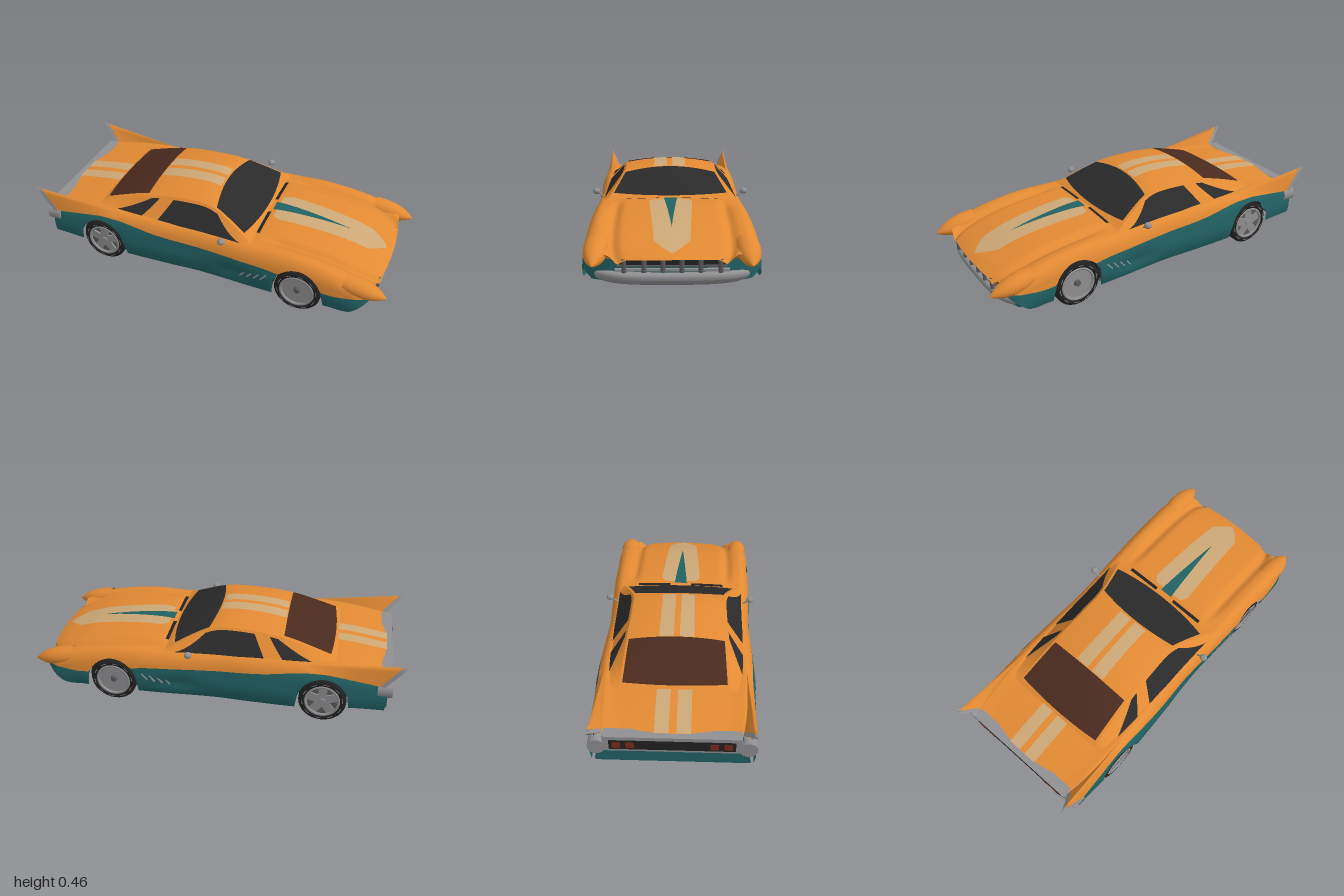
import * as THREE from 'three';

const paint = (name, color) => new THREE.MeshStandardMaterial({ name, color, side: THREE.DoubleSide });
const M = {
  orange: paint('orange paint', 0xe28a33), teal: paint('teal paint', 0x226264), beige: paint('beige stripe', 0xcda876),
  glass: paint('dark glass', 0x2a2a2a), brown: paint('brown rear glass', 0x4a2a1e), grey: paint('grey metal', 0x909092),
  steel: paint('dark steel', 0x5a5a5c), black: paint('black rubber', 0x232222), red: paint('lamp red', 0x7a2a1c),
};

// Smooth curve through [x, value] keys
function curve(keys) {
  const slope = i => {
    const a = keys[Math.max(i - 1, 0)], b = keys[Math.min(i + 1, keys.length - 1)];
    return (b[1] - a[1]) / (b[0] - a[0]);
  };
  return x => {
    let i = 0;
    while (i < keys.length - 2 && x > keys[i + 1][0]) i++;
    const [x0, a] = keys[i], [x1, b] = keys[i + 1], h = x1 - x0;
    const t = Math.min(1, Math.max(0, (x - x0) / h)), t2 = t * t, t3 = t2 * t;
    return a * (2 * t3 - 3 * t2 + 1) + b * (3 * t2 - 2 * t3) + h * (slope(i) * (t3 - 2 * t2 + t) + slope(i + 1) * (t3 - t2));
  };
}
const lerp = THREE.MathUtils.lerp, smooth = THREE.MathUtils.smoothstep;

// Body shape rules along the length (x)
const FRONT = 0.55, REAR = -0.58, WHEEL_Y = 0.125, ARCH = 0.135, X0 = -0.9, X1 = 0.93;
const widest = curve([[-0.9, 0.395], [-0.5, 0.415], [-0.2, 0.407], [0, 0.398], [0.3, 0.41], [0.6, 0.414], [0.8, 0.412], [0.88, 0.402], [0.93, 0.375]]);
const crest = curve([[-0.9, 0.28], [-0.6, 0.317], [-0.3, 0.32], [0, 0.317], [0.3, 0.31], [0.5, 0.312], [0.7, 0.287], [0.85, 0.25], [0.93, 0.222]]);
const middle = curve([[-0.9, 0.283], [-0.65, 0.318], [-0.4, 0.31], [0.2, 0.31], [0.3, 0.325], [0.42, 0.325], [0.6, 0.308], [0.75, 0.28], [0.87, 0.238], [0.93, 0.205]]);
const split = curve([[-0.9, 0.262], [-0.5, 0.285], [-0.25, 0.255], [0, 0.24], [0.2, 0.232], [0.4, 0.222], [0.7, 0.172], [0.85, 0.178], [0.93, 0.185]]);
const sill = curve([[-0.9, 0.1], [-0.72, 0.1], [-0.45, 0.072], [0.42, 0.065], [0.7, 0.078], [0.82, 0.085], [0.88, 0.13], [0.93, 0.18]]);

function bottomY(x) {
  let y = sill(x);
  for (const c of [FRONT, REAR]) if (Math.abs(x - c) < ARCH) y = Math.max(y, WHEEL_Y + Math.sqrt(ARCH ** 2 - (x - c) ** 2));
  return y;
}
function sideZ(x, y) {
  const f = crest(x), base = Math.min(0.2, f - 0.08), w = widest(x), low = (base - y) / 0.13;
  if (y > base) return w - 0.065 * (1 - Math.sqrt(Math.max(0, 1 - ((y - base) / (f - base)) ** 2)));
  const scoop = 0.018 * Math.exp(-(((x - 0.2) / 0.13) ** 2) - ((y - 0.14) / 0.04) ** 2);
  return w + 0.03 * low - 0.045 * low * low - scoop;
}
function topPoint(x, z, lift = 0) {
  const r = Math.abs(z) / (widest(x) - 0.065), w = smooth(r, 0.74, 1);
  const valley = 0.022 * smooth(x, 0.25, 0.45) * Math.exp(-(((r - 0.8) / 0.07) ** 2));
  const nose = 0.03 * smooth(x, 0.8, 0.93) * Math.max(0, 1 - r * r);
  return [x + nose, lerp(middle(x) - 0.1 * z * z, crest(x), w) - valley + lift, z];
}

// Cabin shape rules
const roofY = curve([[-0.66, 0.305], [-0.6, 0.337], [-0.35, 0.428], [-0.12, 0.456], [0.03, 0.437], [0.27, 0.322]]);
const roofZ = curve([[-0.66, 0.28], [-0.35, 0.262], [-0.1, 0.25], [0.03, 0.257], [0.27, 0.335]]);
const drop = curve([[-0.66, 0.006], [-0.35, 0.026], [-0.1, 0.028], [0.03, 0.02], [0.27, 0.01]]);
const roofPoint = (x, r, lift = 0) => [x, roofY(x) - drop(x) * r * r + lift, roofZ(x) * r];
const cabinSide = (x, t, lift = 0) => [x, lerp(0.308, roofY(x) - drop(x), t), lerp(0.354, roofZ(x), t) + lift];

export function createModel() {
  const car = new THREE.Group();
  car.name = 'car';
  const add = (name, geo, mat, x = 0, y = 0, z = 0, parent = car) => {
    const m = new THREE.Mesh(geo, mat);
    m.name = name;
    m.position.set(x, y, z);
    parent.add(m);
    return m;
  };
  const box = (name, mat, x, y, z, w, h, d, parent) => add(name, new THREE.BoxGeometry(w, h, d), mat, x, y, z, parent);
  const rod = (name, mat, r, len, x, y, z) => add(name, new THREE.CylinderGeometry(r, r, len, 14).rotateZ(Math.PI / 2), mat, x, y, z);
  // Grid surface from a rule f(u, v), optionally mirrored across z
  const patch = (name, mat, nu, nv, f, s = 1) => {
    const pos = [], idx = [];
    for (let i = 0; i <= nu; i++) for (let j = 0; j <= nv; j++) {
      const [x, y, z] = f(i / nu, j / nv);
      pos.push(x, y, z * s);
    }
    for (let i = 0; i < nu; i++) for (let j = 0; j < nv; j++) {
      const a = i * (nv + 1) + j, b = a + 1, c = a + nv + 1, d = c + 1;
      if (s > 0) idx.push(a, c, b, b, c, d); else idx.push(a, b, c, b, d, c);
    }
    const g = new THREE.BufferGeometry();
    g.setAttribute('position', new THREE.Float32BufferAttribute(pos, 3));
    g.setIndex(idx);
    g.computeVertexNormals();
    return add(name, g, mat);
  };
  const pair = (name, mat, nu, nv, f) => [1, -1].forEach(s => patch(name, mat, nu, nv, f, s));

  // Body shell: teal lower sides, orange upper sides, hood and deck
  const along = u => lerp(X0, X1, u);
  pair('lowerSide', M.teal, 170, 8, (u, v) => {
    const x = along(u), b = bottomY(x), y = lerp(b, Math.max(b, split(x)), v);
    return [x, y, sideZ(x, y)];
  });
  pair('upperSide', M.orange, 170, 10, (u, v) => {
    const x = along(u), y = lerp(Math.max(bottomY(x), split(x)), crest(x), Math.sin(v * Math.PI / 2));
    return [x, y, sideZ(x, y)];
  });
  patch('hoodAndDeck', M.orange, 100, 56, (u, v) => topPoint(along(u), (1 - 2 * v) * (widest(along(u)) - 0.065)));

  // Cabin shell, glass and pillars
  patch('roof', M.orange, 50, 16, (u, v) => roofPoint(lerp(-0.66, 0.27, u), 1 - 2 * v));
  pair('cabinSide', M.orange, 50, 4, (u, v) => cabinSide(lerp(-0.66, 0.27, u), v));
  patch('windshield', M.glass, 14, 16, (u, v) => {
    const r = 1 - 2 * v;
    return roofPoint(lerp(0.015 + 0.03 * r * r, 0.256 - 0.035 * r * r, u), r * 0.955, 0.005);
  });
  patch('rearWindow', M.brown, 14, 16, (u, v) => {
    const r = 1 - 2 * v;
    return roofPoint(lerp(-0.62 + 0.015 * r * r, -0.355, u), r * 0.95, 0.005);
  });
  const sideGlass = (name, a, b, c, d) => pair(name, M.glass, 16, 6, (u, v) =>
    cabinSide(lerp(lerp(a, b, u), lerp(d, c, u), v), lerp(0.07, 0.92, v), 0.005));
  sideGlass('doorWindow', -0.265, 0.215, 0.06, -0.2);
  sideGlass('quarterWindow', -0.56, -0.365, -0.28, -0.325);
  pair('cowlVent', M.black, 3, 8, (u, v) => topPoint(lerp(0.27, 0.288, u), lerp(0.25, 0.06, v), 0.004));

  // Painted stripes
  pair('roofStripe', M.beige, 20, 3, (u, v) => roofPoint(lerp(-0.35, 0.005, u), lerp(0.35, 0.06, v), 0.003));
  pair('deckStripe', M.beige, 14, 3, (u, v) => topPoint(lerp(-0.9, -0.635, u), lerp(0.088, 0.018, v), 0.003));
  patch('hoodStripe', M.beige, 40, 12, (u, v) => {
    const x = lerp(0.31, 0.9, u), w = x < 0.83 ? lerp(0.115, 0.085, (x - 0.31) / 0.52) : 0.085 * ((0.9 - x) / 0.07) ** 0.8;
    return topPoint(x, (1 - 2 * v) * w * smooth(x, 0.2, 0.36), 0.003);
  });
  patch('hoodWedge', M.teal, 30, 4, (u, v) => topPoint(lerp(0.29, 0.72, u), (1 - 2 * v) * 0.036 * (1 - u), 0.005));

  // Tail fins with grey trailing edges and back faces
  const fin = (u, v) => {
    const inner = [-0.48 - 0.41 * u, lerp(0.312, 0.272, u), lerp(0.358, 0.328, u ** 3)];
    const tip = [-0.48 - 0.52 * u, lerp(0.318, 0.372, u), lerp(0.362, 0.388, u)];
    const outer = [-0.48 - 0.41 * u, lerp(0.3, 0.25, u), lerp(0.392, 0.405, u)];
    const [a, b, t] = v < 0.5 ? [outer, tip, v * 2] : [tip, inner, v * 2 - 1];
    return a.map((k, i) => lerp(k, b[i], t));
  };
  pair('tailFin', M.orange, 16, 8, (u, v) => fin(u * 0.94, v));
  pair('finEdge', M.grey, 2, 8, (u, v) => fin(lerp(0.94, 1, u), v));
  pair('finBack', M.grey, 1, 4, (u, v) => fin(1, u === 0 ? v / 2 : 1 - v / 2));

  // Rear panel, lamps, bumper and valance
  patch('rearPanel', M.teal, 6, 20, (u, v) => {
    const [x, y, z] = topPoint(X0, lerp(0.33, -0.33, v));
    return [x, lerp(y, 0.1, u), z * lerp(1, 1.15, u)];
  });
  box('rearFrame', M.grey, -0.902, 0.238, 0, 0.058, 0.09, 0.66);
  box('rearLampPanel', M.black, -0.932, 0.235, 0, 0.004, 0.056, 0.6);
  box('rearBumper', M.teal, -0.895, 0.145, 0, 0.03, 0.08, 0.74);
  box('rearValance', M.teal, -0.85, 0.1, 0, 0.1, 0.012, 0.74);
  for (const s of [1, -1]) {
    for (const z of [0.2, 0.265]) box('tailLamp', M.red, -0.935, 0.235, s * z, 0.004, 0.034, 0.04);
    rod('rearPod', M.grey, 0.044, 0.075, -0.893, 0.215, s * 0.362);
  }

  // Front fascia, grille, bars and bumper
  const fasciaX = z => 0.912 - 0.06 * (z / 0.38) ** 4;
  patch('frontFascia', M.teal, 6, 30, (u, v) => {
    const z = lerp(1, -1, v) * lerp(0.37, 0.412, Math.sin(u * Math.PI));
    return [fasciaX(z), lerp(0.2, 0.085, u), z];
  });
  patch('noseLip', M.orange, 3, 30, (u, v) => {
    const z = lerp(0.305, -0.305, v), [x, y] = topPoint(X1, z);
    return [lerp(x, fasciaX(z), u), lerp(y, 0.19, u), z];
  });
  patch('grille', M.black, 1, 20, (u, v) => {
    const z = lerp(0.25, -0.25, v);
    return [fasciaX(z) + 0.006, lerp(0.2, 0.168, u), z];
  });
  box('grilleLowerTrim', M.grey, 0.918, 0.146, 0, 0.016, 0.012, 0.52);
  box('grilleMiddleTrim', M.steel, 0.918, 0.165, 0, 0.014, 0.007, 0.5);
  for (const s of [1, -1]) for (const z of [0.043, 0.128, 0.218])
    add('grilleBar', new THREE.CylinderGeometry(0.011, 0.011, 0.064, 10), M.steel, 0.93, 0.17, s * z);
  patch('frontBumper', M.grey, 40, 20, (u, v) => {
    const k = 2 * u - 1, a = v * Math.PI * 2, e = Math.sqrt(1 - k ** 8), h = 0.033 * e * Math.sin(a);
    return [0.908 - 0.055 * k ** 4 + 0.034 * e * Math.cos(a) + 0.4 * h, 0.1 + h + 0.008 * k * k, 0.365 * k];
  });

  for (const s of [1, -1]) {
    // Pointed headlight pods, grey underneath
    const profile = [[0.054, 0], [0.058, 0.06], [0.053, 0.12], [0.04, 0.165], [0.021, 0.2], [0.001, 0.225]].map(p => new THREE.Vector2(...p));
    const pod = new THREE.Group();
    pod.name = 'headlightPod';
    pod.position.set(0.78, 0.232, s * 0.348);
    pod.rotation.set(0, -s * 0.03, -0.19);
    car.add(pod);
    const shell = (name, mat, start, len) => add(name, new THREE.LatheGeometry(profile, 20, start, len).rotateZ(-Math.PI / 2).scale(1, 0.85, 1), mat, 0, 0, 0, pod);
    shell('podTop', M.orange, Math.PI / 2 + 0.65, Math.PI * 2 - 1.3);
    shell('podUnderside', M.grey, Math.PI / 2 - 0.65, 1.3);

    // Door mirrors
    add('mirrorStem', new THREE.CylinderGeometry(0.005, 0.005, 0.06, 8).rotateX(s * 0.9), M.grey, 0.13, 0.312, s * 0.38);
    add('mirror', new THREE.SphereGeometry(0.02, 14, 10).scale(1, 0.85, 1.05), M.grey, 0.13, 0.33, s * 0.404);

    // Slim gills behind the front wheels
    for (let i = 0; i < 4; i++) {
      const x = 0.25 + i * 0.04, y = 0.148 + i * 0.008;
      box('sideGill', M.grey, x, y, s * (sideZ(x, y) + 0.001), 0.007, 0.045, 0.006).rotation.z = -0.7;
    }

    // Wheels and arch liners
    for (const [x, spokes] of [[FRONT, 0], [REAR, 5]]) {
      const wheel = new THREE.Group();
      wheel.name = 'wheel';
      wheel.position.set(x, WHEEL_Y, s * 0.354);
      if (s < 0) wheel.rotation.y = Math.PI;
      car.add(wheel);
      const ring = [[0.09, -0.05], [0.112, -0.053], [0.125, -0.04], [0.125, 0.04], [0.112, 0.053], [0.092, 0.05], [0.09, -0.05]];
      add('tire', new THREE.LatheGeometry(ring.map(p => new THREE.Vector2(...p)), 32).rotateX(Math.PI / 2), M.black, 0, 0, 0, wheel);
      for (let i = 0; i < 10; i++) add('tireDash', new THREE.RingGeometry(0.103, 0.107, 4, 1, i * Math.PI / 5, 0.3), M.grey, 0, 0, 0.054, wheel);
      add('rimDish', new THREE.CylinderGeometry(0.091, 0.091, 0.07, 28).rotateX(Math.PI / 2), spokes ? M.steel : M.grey, 0, 0, 0, wheel);
      add('rimLip', new THREE.TorusGeometry(0.087, 0.008, 8, 32), M.grey, 0, 0, 0.047, wheel);
      add('hub', new THREE.CylinderGeometry(0.014, 0.02, 0.02, 16).rotateX(Math.PI / 2), spokes ? M.grey : M.steel, 0, 0, 0.04, wheel);
      for (let i = 0; i < spokes; i++) {
        const a = (i + 0.25) / spokes * Math.PI * 2;
        box('spoke', M.grey, 0.05 * Math.cos(a), 0.05 * Math.sin(a), 0.038, 0.08, 0.046, 0.012, wheel).rotation.z = a;
      }
      add('archLiner', new THREE.CylinderGeometry(0.134, 0.134, 0.12, 24, 1, true, Math.PI / 2, Math.PI).rotateX(Math.PI / 2), M.black, x, WHEEL_Y, s * 0.32);
      rod('shockMount', M.grey, 0.024, 0.14, x, 0.1, s * 0.24);
    }

    // Underside rails, exhausts and springs
    box('sillRail', M.steel, -0.01, 0.07, s * 0.345, 0.82, 0.016, 0.03);
    box('chassisRail', M.steel, 0, 0.085, s * 0.22, 1.4, 0.03, 0.04);
    rod('exhaustPipe', M.grey, 0.022, 0.9, -0.08, 0.09, s * 0.09);
    rod('muffler', M.grey, 0.03, 0.22, -0.36, 0.092, s * 0.13);
    box('leafSpring', M.grey, REAR, 0.088, s * 0.26, 0.3, 0.012, 0.03);
    rod('tailMuffler', M.grey, 0.028, 0.14, -0.7, 0.105, s * 0.15);
  }

  // Floor, inner wheel walls and running gear
  box('floor', M.black, -0.01, 0.092, 0, 0.82, 0.025, 0.72);
  box('chassis', M.black, 0.04, 0.138, 0, 1.68, 0.085, 0.54);
  for (const x of [FRONT, REAR]) {
    box('wheelWall', M.black, x, 0.2, 0, 0.28, 0.13, 0.52);
    add('axle', new THREE.CylinderGeometry(0.026, 0.026, 0.62, 12).rotateX(Math.PI / 2), M.grey, x, 0.105, 0);
  }
  for (const x of [-0.38, -0.05, 0.3]) box('crossMember', M.steel, x, 0.077, 0, 0.04, 0.016, 0.68);
  add('differential', new THREE.SphereGeometry(0.055, 16, 12), M.grey, REAR, 0.12, 0);
  rod('driveShaft', M.steel, 0.018, 0.75, -0.2, 0.09, 0);
  rod('gearbox', M.grey, 0.055, 0.24, 0.26, 0.122, 0);
  box('oilPan', M.grey, 0.51, 0.092, 0, 0.27, 0.05, 0.22);
  return car;
}
